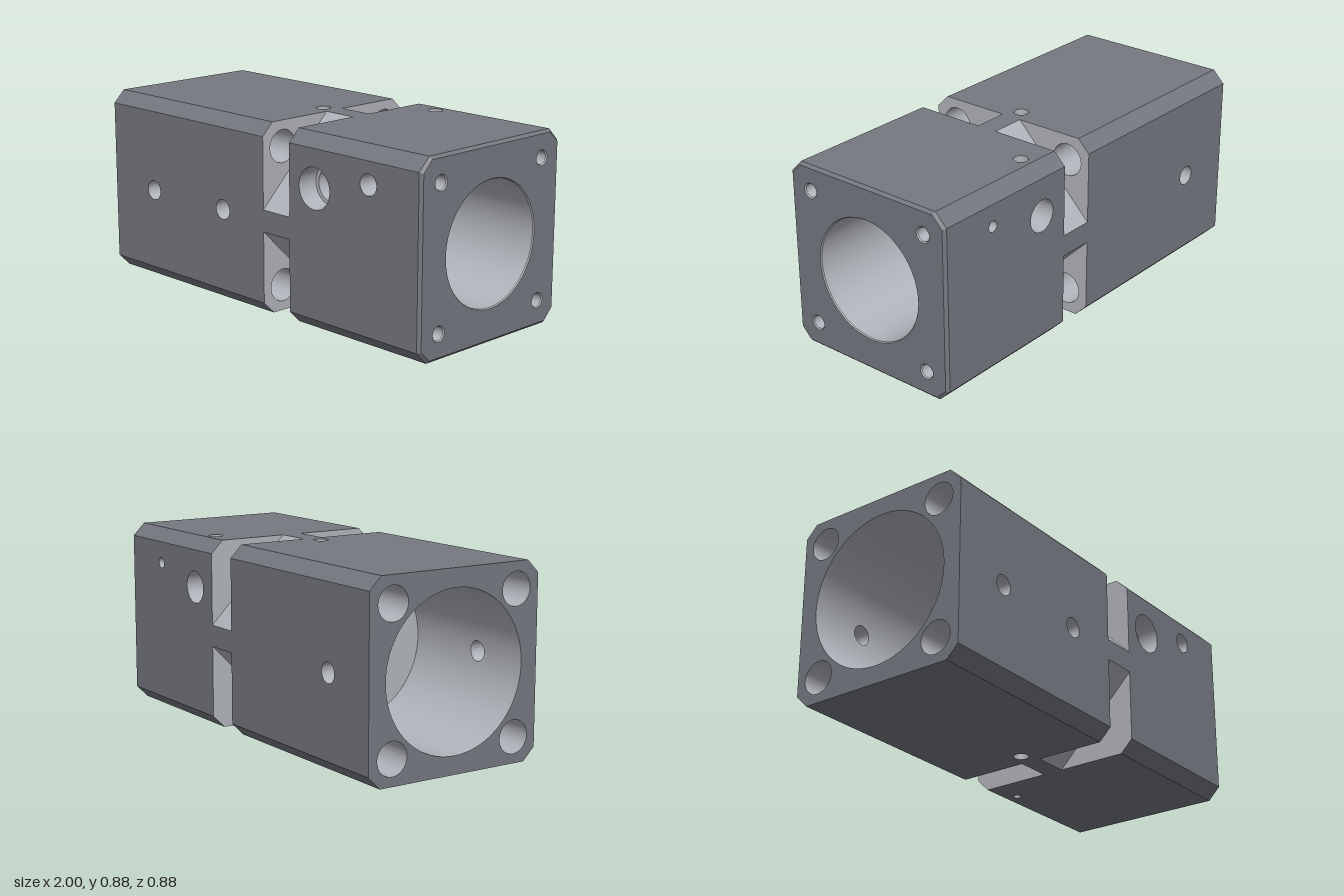
import * as THREE from 'three';

const H = 0.4375;              // half width of the square block
const C = 0.38;                // where the long corner chamfers begin
const BEVEL = 0.013;           // bevel round the right end
const NOTCH = [0.062, 0.23];   // x range of the corner notches
const NOTCH_IN = 0.05;         // how close the notches come to the middle
const LEFT_BORE = 0.355, MID_BORE = 0.2, RIGHT_BORE = 0.28, STEP = 0.215;
const SHOULDER = [-0.28, 0.25];
const STEP_X = SHOULDER[1] - 0.02;
const BOLT = 0.32;             // offset of the corner holes
const PORT = 0.205, PORT_R = 0.075; // height above the axis and radius of the large cross port

const skin = new THREE.MeshStandardMaterial({ color: 0x757880 }); // outer faces
const cut = new THREE.MeshStandardMaterial({ color: 0xb1b4bb });  // machined holes, bores and notches

// Cross holes for each side, as [radius, depth] steps.
// bore: breaks into the bore of that radius; port: breaks into the cross port at that height.
const sides = [
  { name: 'front', turn: 0, holes: [
    { x: -0.71, y: 0, steps: [[0.046, 0]], bore: LEFT_BORE },
    { x: -0.213, y: 0, steps: [[0.046, 0.08], [0.018, 0]], bore: MID_BORE },
    { x: 0.385, y: PORT, steps: [[0.093, 0.1], [PORT_R, 0]], bore: RIGHT_BORE },
    { x: 0.705, y: 0.279, steps: [[0.047, 0.1], [0.025, 0]], bore: RIGHT_BORE } ] },
  { name: 'top', turn: -Math.PI / 2, holes: [
    { x: -0.01, y: 0, steps: [[0.034, 0.15]] },
    { x: 0.385, y: 0.322, steps: [[0.033, 0.08], [0.018, 0]], port: PORT } ] },
  { name: 'back', turn: Math.PI, holes: [
    { x: -0.71, y: 0, steps: [[0.046, 0]], bore: LEFT_BORE },
    { x: 0.385, y: -PORT, steps: [[PORT_R, 0]], bore: RIGHT_BORE },
    { x: 0.705, y: -0.279, steps: [[0.025, 0]], bore: RIGHT_BORE } ] },
  { name: 'bottom', turn: Math.PI / 2, holes: [
    { x: -0.01, y: 0, steps: [[0.034, 0.15]] },
    { x: 0.385, y: -0.322, steps: [[0.018, 0]], port: -PORT } ] },
];

function add(parent, name, geometry, material = cut) {
  const mesh = new THREE.Mesh(geometry, material);
  mesh.name = name;
  parent.add(mesh);
}

function polygon(points, holes = []) {
  const shape = new THREE.Shape(points.map(([x, y]) => new THREE.Vector2(x, y)));
  for (const [x, y, r] of holes) shape.holes.push(new THREE.Path().absarc(x, y, r, 0, Math.PI * 2, true));
  return new THREE.ShapeGeometry(shape, 48);
}

function buffer(positions, index) {
  const g = new THREE.BufferGeometry();
  g.setAttribute('position', new THREE.Float32BufferAttribute(positions, 3));
  g.setIndex(index);
  g.computeVertexNormals();
  return g;
}

// Inward facing wall of a hole along z, from z0 down to end(x, y).
function holeWall(x, y, r, z0, end, r2 = r, n = 48) {
  const p = [], index = [];
  for (let i = 0; i <= n; i++) {
    const a = (i / n) * Math.PI * 2, c = Math.cos(a), s = Math.sin(a);
    p.push(x + r * c, y + r * s, z0, x + r2 * c, y + r2 * s, end(x + r2 * c, y + r2 * s));
    if (i < n) index.push(2 * i, 2 * i + 2, 2 * i + 1, 2 * i + 2, 2 * i + 3, 2 * i + 1);
  }
  return buffer(p, index);
}

// The same along x, from xHigh to xLow.
const axialWall = (z, y, r, xHigh, xLow, r2 = r, n = 48) =>
  holeWall(-z, y, r, xHigh, () => xLow, r2, n).rotateY(Math.PI / 2);

// Flat ring across the main bore, facing right (dir 1) or left (dir -1).
const shoulderRing = (r0, r1, x, dir) =>
  new THREE.RingGeometry(r0, r1, 96).rotateY(dir * Math.PI / 2).translate(x, 0, 0);

// Inward facing bore wall; cells inside cross holes are left out and edges moved to the hole rim.
function boreWall(radius, x0, x1) {
  const cuts = sides.flatMap(s => s.holes.filter(h => h.bore === radius)
    .map(h => ({ x: h.x, y: h.y, r: h.steps[h.steps.length - 1][0], turn: s.turn })));
  const cell = 0.012, snap = 0.75 * cell;
  const nt = Math.round(2 * Math.PI * radius / cell), nx = Math.round((x1 - x0) / cell);
  const p = [], index = [];
  const at = (i, j) => [x0 + (x1 - x0) * i / nx, (j / nt) * Math.PI * 2];
  const local = (c, x, t) => {
    const dx = x - c.x, dy = radius * Math.sin(t + c.turn) - c.y;
    return { dx, dy, d: Math.hypot(dx, dy), near: Math.cos(t + c.turn) > 0 };
  };
  for (let i = 0; i <= nx; i++) for (let j = 0; j <= nt; j++) {
    let [x, t] = at(i, j);
    for (const c of cuts) {
      const { dx, dy, d, near } = local(c, x, t);
      if (!near || d >= c.r + snap || d < 1e-6) continue;
      x = c.x + dx * c.r / d;
      const y = THREE.MathUtils.clamp((c.y + dy * c.r / d) / radius, -1, 1);
      t = Math.asin(y) - c.turn;
    }
    p.push(x, radius * Math.sin(t), radius * Math.cos(t));
  }
  for (let i = 0; i < nx; i++) for (let j = 0; j < nt; j++) {
    const [x, t] = at(i + 0.5, j + 0.5);
    if (cuts.some(c => { const q = local(c, x, t); return q.near && q.d < c.r; })) continue;
    const a = i * (nt + 1) + j, b = a + nt + 1;
    index.push(a, a + 1, b, a + 1, b + 1, b);
  }
  const g = buffer(p, index);
  const normal = g.attributes.normal;
  for (let i = 0; i < normal.count; i++) normal.setXYZ(i, 0, -p[3 * i + 1] / radius, -p[3 * i + 2] / radius);
  return g;
}

function addCrossHole(group, { x, y, steps, bore, port }) {
  const arc = (r, v) => Math.sqrt(Math.max(0, r * r - v * v));
  let z = H;
  steps.forEach(([r, depth], k) => {
    const last = k === steps.length - 1;
    let end = () => H - depth;
    if (last && bore) end = (xx, yy) => arc(bore, yy);
    if (last && port) end = xx => port + arc(PORT_R, xx - x);
    add(group, 'crossHoleWall', holeWall(x, y, r, z, end));
    z = H - depth;
    if (!last) add(group, 'counterboreLedge', new THREE.RingGeometry(steps[k + 1][0], r, 48).translate(x, y, z));
    else if (!bore && !port) add(group, 'blindHoleFloor', new THREE.CircleGeometry(r, 48).translate(x, y, z));
  });
}

// One side with the corner chamfer and notch above it.
function makeSide({ name, turn, holes }) {
  const group = new THREE.Group();
  group.name = name + 'Side';
  group.rotation.x = turn;
  const [n0, n1] = NOTCH, e = 1 - BEVEL;
  add(group, 'sideFace', polygon([
    [-1, -C], [n0, -C], [n0, -NOTCH_IN], [n1, -NOTCH_IN], [n1, -C], [e, -C],
    [e, C], [n1, C], [n1, NOTCH_IN], [n0, NOTCH_IN], [n0, C], [-1, C],
  ], holes.map(h => [h.x, h.y, h.steps[0][0]])).translate(0, 0, H), skin);
  holes.forEach(h => addCrossHole(group, h));

  // sloping strips across the corner
  const strip = (label, x0, x1, inner, material) => {
    const mid = (H + inner) / 2;
    add(group, label, new THREE.PlaneGeometry(x1 - x0, (H - inner) * Math.SQRT2)
      .rotateX(-Math.PI / 4).translate((x0 + x1) / 2, mid, mid), material);
  };
  strip('cornerChamfer', -1, n0, C, skin);
  strip('cornerChamfer', n1, e, C, skin);
  strip('notchFloor', n0, n1, NOTCH_IN, cut);

  // notch end walls
  const wall = s => [[s * H, NOTCH_IN], [s * H, C], [s * C, H], [s * NOTCH_IN, H]];
  add(group, 'notchLeftWall', polygon(wall(-1), [[-BOLT, BOLT, 0.075]]).rotateY(Math.PI / 2).translate(n0, 0, 0));
  add(group, 'notchRightWall', polygon(wall(1)).rotateY(-Math.PI / 2).translate(n1, 0, 0));

  // corner holes: clearance hole through one half, blind hole in the other
  add(group, 'clearanceHole', axialWall(BOLT, BOLT, 0.075, n0, -1));
  add(group, 'threadedHoleMouth', axialWall(BOLT, BOLT, 0.036, 1, 0.995, 0.031));
  add(group, 'threadedHole', axialWall(BOLT, BOLT, 0.031, 0.995, 0.78));
  add(group, 'threadedHoleFloor', new THREE.CircleGeometry(0.031, 48)
    .rotateY(Math.PI / 2).translate(0.78, BOLT, BOLT));
  return group;
}

// Octagon outline, counter-clockwise
const octagon = (h, c) => [[h, -c], [h, c], [c, h], [-c, h], [-h, c], [-h, -c], [-c, -h], [c, -h]];

export function createModel() {
  const model = new THREE.Group();
  model.name = 'boredBlock';
  const body = new THREE.Group();
  body.name = 'body';
  body.position.y = H;
  model.add(body);

  sides.forEach(s => body.add(makeSide(s)));

  // end faces
  const bolts = r => [[1, 1], [1, -1], [-1, 1], [-1, -1]].map(([a, b]) => [a * BOLT, b * BOLT, r]);
  const h = H - BEVEL, c = H + C - BEVEL * Math.SQRT2 - h;
  const outer = octagon(H, C), inner = octagon(h, c);
  add(body, 'leftEndFace', polygon(outer, [[0, 0, LEFT_BORE], ...bolts(0.075)])
    .rotateY(-Math.PI / 2).translate(-1, 0, 0), skin);
  add(body, 'rightEndFace', polygon(inner, [[0, 0, 0.284], ...bolts(0.036)])
    .rotateY(Math.PI / 2).translate(1, 0, 0), skin);
  const p = [], index = [];
  outer.forEach((o, i) => {
    const j = (i + 1) % 8, k = 4 * i;
    p.push(...o, -BEVEL, ...outer[j], -BEVEL, ...inner[j], 0, ...inner[i], 0);
    index.push(k, k + 1, k + 2, k, k + 2, k + 3);
  });
  add(body, 'rightEndBevel', buffer(p, index).rotateY(Math.PI / 2).translate(1, 0, 0), skin);

  // stepped main bore
  const [s0, s1] = SHOULDER;
  add(body, 'leftBore', boreWall(LEFT_BORE, -1, s0));
  add(body, 'leftShoulder', shoulderRing(MID_BORE, LEFT_BORE, s0, -1));
  add(body, 'middleBore', boreWall(MID_BORE, s0, STEP_X));
  add(body, 'stepFloor', shoulderRing(MID_BORE, STEP, STEP_X, 1));
  add(body, 'stepWall', axialWall(0, 0, STEP, s1, STEP_X, STEP, 96));
  add(body, 'rightShoulder', shoulderRing(STEP, RIGHT_BORE, s1, 1));
  add(body, 'rightBore', boreWall(RIGHT_BORE, s1, 0.995));
  add(body, 'boreMouth', axialWall(0, 0, 0.284, 1, 0.995, RIGHT_BORE, 96));
  return model;
}
